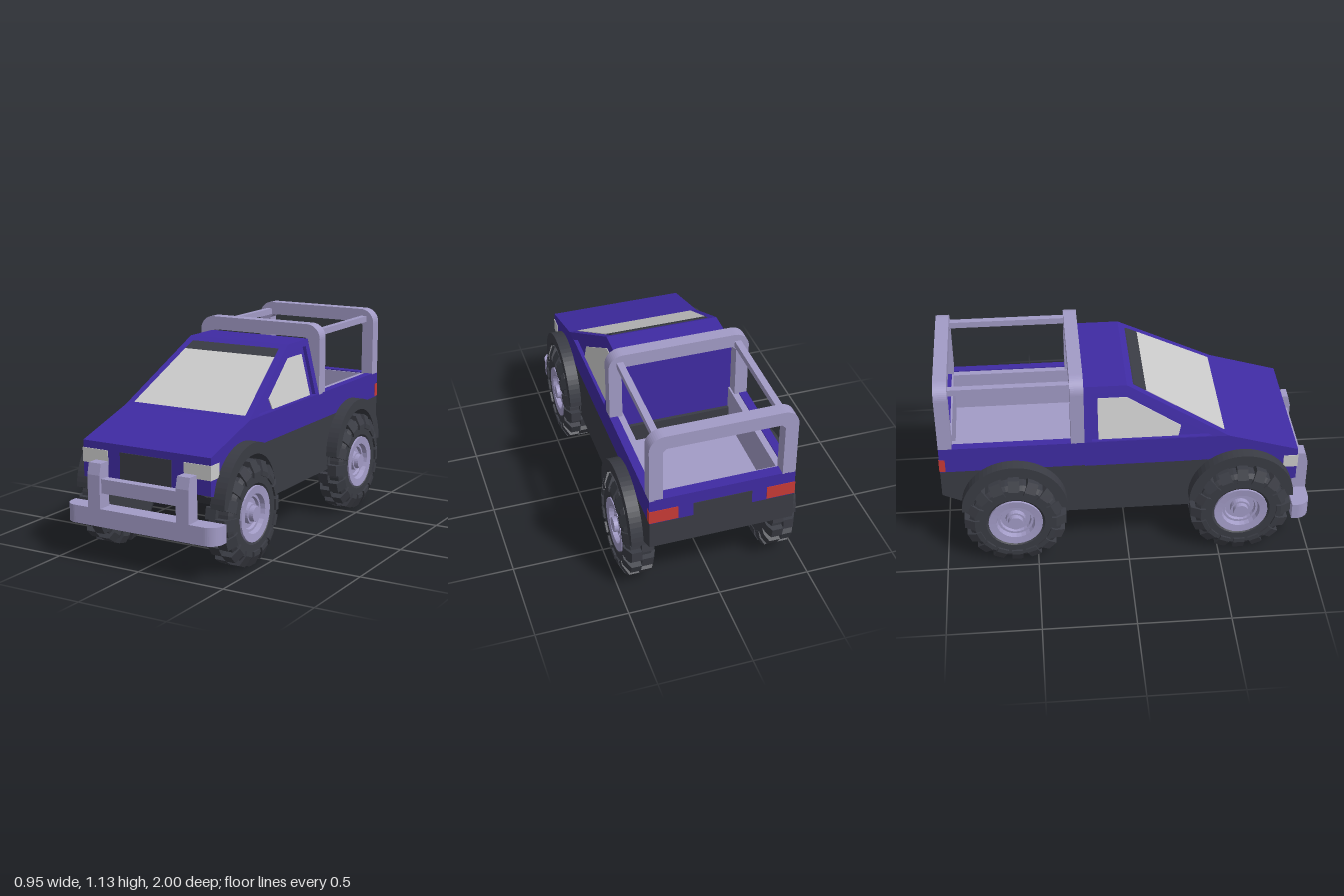
import * as THREE from 'three';
import { mergeGeometries } from 'three/addons/utils/BufferGeometryUtils.js';

const mat = (color) => new THREE.MeshStandardMaterial({ color, flatShading: true });
const PAINT = mat(0x3f2ba3), TRIM = mat(0xa29bc6), DARK = mat(0x3a3c44);
const GREY = mat(0xcccccc), RED = mat(0xc83a36);

const AXLE_Z = 0.615, ARCH_Y = 0.36, ARCH_R = 0.225;

export function createModel() {
  const root = new THREE.Group();
  const add = (name, geo, material, parent = root) => {
    const m = new THREE.Mesh(geo, material);
    m.name = name;
    parent.add(m);
    return m;
  };
  // Box given by its limits
  const box = (name, material, x0, x1, y0, y1, z0, z1) =>
    add(name, new THREE.BoxGeometry(x1 - x0, y1 - y0, z1 - z0)
      .translate((x0 + x1) / 2, (y0 + y1) / 2, (z0 + z1) / 2), material);
  const poly = (pts) => new THREE.Shape(pts.map(([a, b]) => new THREE.Vector2(a, b)));
  // Side profile in (z, y), extruded from x0 to x1
  const profile = (shape, x0, x1) =>
    new THREE.ExtrudeGeometry(shape, { depth: x1 - x0, bevelEnabled: false, curveSegments: 16 })
      .rotateY(-Math.PI / 2).translate(x1, 0, 0);
  // Tapered block: each end is [y, halfWidth, zBack, zFront]
  const taper = (low, high) => {
    const g = new THREE.BoxGeometry(2, 2, 2), p = g.attributes.position;
    for (let i = 0; i < p.count; i++) {
      const [y, w, zb, zf] = p.getY(i) < 0 ? low : high;
      p.setXYZ(i, p.getX(i) * w, y, p.getZ(i) < 0 ? zb : zf);
    }
    g.computeVertexNormals();
    return g;
  };

  // Chassis core between the wheels
  add('chassis', profile(poly([[-1, 0.435], [-0.65, 0.28], [0.6, 0.28], [0.91, 0.43], [0.91, 0.59],
    [-0.23, 0.59], [-0.23, 0.49], [-1, 0.49]]), -0.31, 0.31), DARK);

  // Hood and waist
  add('hood', profile(poly([[0.92, 0.585], [0.92, 0.625], [0.54, 0.74], [-0.23, 0.74], [-0.23, 0.585]]),
    -0.385, 0.385), PAINT);
  box('nosePanel', PAINT, -0.31, 0.31, 0.43, 0.59, 0.88, 0.92);
  box('grille', DARK, -0.155, 0.155, 0.44, 0.586, 0.9, 0.924);

  // Lower sides with wheel openings
  const lower = new THREE.Shape();
  lower.moveTo(-1, 0.59);
  lower.lineTo(-1, 0.435);
  lower.lineTo(-AXLE_Z - ARCH_R, ARCH_Y);
  lower.absarc(-AXLE_Z, ARCH_Y, ARCH_R, Math.PI, 0, true);
  lower.lineTo(-0.385, 0.28);
  lower.lineTo(0.385, 0.28);
  lower.lineTo(AXLE_Z - ARCH_R, ARCH_Y);
  lower.absarc(AXLE_Z, ARCH_Y, ARCH_R, Math.PI, Math.PI / 2, true);
  lower.lineTo(AXLE_Z, 0.59);
  const nose = new THREE.Shape();
  nose.moveTo(0.92, 0.59);
  nose.lineTo(AXLE_Z, 0.59);
  nose.absarc(AXLE_Z, ARCH_Y, ARCH_R, Math.PI / 2, 0.2, true);
  nose.lineTo(0.92, 0.43);

  // Wheel arch flare
  const flare = new THREE.Shape();
  flare.absarc(0, ARCH_Y, 0.285, 0, Math.PI, false);
  flare.absarc(0, ARCH_Y, ARCH_R, Math.PI, 0, true);

  for (const [s, side] of [[1, 'left'], [-1, 'right']]) {
    const span = (a, b) => (s > 0 ? [a, b] : [-b, -a]);
    add(side + 'LowerSide', profile(lower, ...span(0.31, 0.385)), DARK);
    add(side + 'NoseSide', profile(nose, ...span(0.31, 0.385)), PAINT);
    box(side + 'Headlight', GREY, ...span(0.23, 0.388), 0.51, 0.586, 0.845, 0.924);
    box(side + 'TailLight', RED, ...span(0.235, 0.387), 0.595, 0.67, -1.003, -0.97);
    box(side + 'BedRail', PAINT, ...span(0.34, 0.385), 0.59, 0.74, -1, -0.23);
    box(side + 'BedLiner', TRIM, ...span(0.305, 0.34), 0.49, 0.735, -0.95, -0.23);
    box(side + 'RollBarRail', TRIM, ...span(0.305, 0.34), 1.05, 1.085, -0.95, -0.28);
    for (const e of [1, -1])
      add(side + (e > 0 ? 'Front' : 'Rear') + 'Flare',
        profile(flare, ...span(0.37, 0.45)).translate(0, 0, e * AXLE_Z), DARK);
  }

  // Load bed
  box('bedFloor', TRIM, -0.31, 0.31, 0.48, 0.51, -0.95, -0.23);
  box('bedFrontStrip', DARK, -0.305, 0.305, 0.51, 0.61, -0.25, -0.22);
  box('tailgate', PAINT, -0.34, 0.34, 0.59, 0.74, -1, -0.94);
  box('tailgateLower', DARK, -0.31, 0.31, 0.435, 0.59, -1, -0.94);
  box('tailgateLiner', TRIM, -0.305, 0.305, 0.51, 0.735, -0.945, -0.93);
  box('rearPlatePanel', DARK, -0.155, 0.155, 0.585, 0.67, -1.003, -0.97);

  // Cab: inner block, outer side frames and glass leaning inwards
  add('cab', taper([0.735, 0.365, -0.23, 0.549], [1.045, 0.29, -0.23, 0]), PAINT);
  const lean = (g, s) => {
    const p = g.attributes.position;
    for (let i = 0; i < p.count; i++) p.setX(i, p.getX(i) - s * (p.getY(i) - 0.74) * 0.246);
    g.computeVertexNormals();
    return g;
  };
  const frame = poly([[0.54, 0.74], [0, 1.045], [-0.23, 1.045], [-0.23, 0.74]]);
  frame.holes.push(poly([[0.45, 0.745], [-0.01, 1.01], [-0.19, 1.01], [-0.19, 0.745]]));
  const pane = poly([[0.27, 0.742], [0.285, 0.8], [0, 0.97], [-0.155, 0.97], [-0.155, 0.742]]);
  for (const [s, side] of [[1, 'left'], [-1, 'right']]) {
    const span = (a, b) => (s > 0 ? [a, b] : [-b, -a]);
    add(side + 'CabFrame', lean(profile(frame, ...span(0.35, 0.385)), s), PAINT);
    add(side + 'Window', lean(profile(pane, ...span(0.35, 0.369)), s), GREY);
  }
  const slopeZ = (y) => 0.54 - (y - 0.74) * 0.54 / 0.305;
  const slopeEnd = (y, w) => [y, w, slopeZ(y) - 0.02, slopeZ(y) + 0.007];
  add('windshield', taper(slopeEnd(0.755, 0.343), slopeEnd(0.99, 0.282)), GREY);
  add('sunStrip', taper(slopeEnd(0.99, 0.282), slopeEnd(1.025, 0.272)), DARK);

  // Roll bars: inverted U with rounded shoulders
  const hoop = new THREE.Shape();
  hoop.moveTo(-0.385, 0.735);
  hoop.lineTo(-0.315, 0.735);
  hoop.lineTo(-0.315, 1.03);
  hoop.lineTo(-0.295, 1.05);
  hoop.lineTo(0.295, 1.05);
  hoop.lineTo(0.315, 1.03);
  hoop.lineTo(0.315, 0.735);
  hoop.lineTo(0.385, 0.735);
  hoop.absarc(0.305, 1.045, 0.08, 0, Math.PI / 2, false);
  hoop.absarc(-0.305, 1.045, 0.08, Math.PI / 2, Math.PI, false);
  for (const [name, z] of [['frontRollBar', -0.302], ['rearRollBar', -1]])
    add(name, new THREE.ExtrudeGeometry(hoop, { depth: 0.072, bevelEnabled: false, curveSegments: 6 })
      .translate(0, 0, z), TRIM);

  // Front bumper and bull bar
  const plan = new THREE.Shape();
  plan.moveTo(-0.46, 0.9);
  plan.lineTo(0.46, 0.9);
  plan.absarc(0.39, 0.93, 0.07, 0, Math.PI / 2, false);
  plan.absarc(-0.39, 0.93, 0.07, Math.PI / 2, Math.PI, false);
  add('bumper', new THREE.ExtrudeGeometry(plan, { depth: 0.095, bevelEnabled: false, curveSegments: 6 })
    .rotateX(Math.PI / 2).translate(0, 0.295, 0), TRIM);
  const post = poly([[0.92, 0.29], [1, 0.29], [1, 0.47], [0.985, 0.53], [0.92, 0.53]]);
  add('leftBullBarPost', profile(post, 0.23, 0.305), TRIM);
  add('rightBullBarPost', profile(post, -0.305, -0.23), TRIM);
  box('bullBarCrossbar', TRIM, -0.23, 0.23, 0.375, 0.45, 0.935, 0.985);

  // Wheels: tyre, staggered tread lugs and stepped rim
  const lathe = (pts, n) => new THREE.LatheGeometry(pts.map(([r, x]) => new THREE.Vector2(r, x)), n)
    .rotateZ(-Math.PI / 2);
  const tyre = lathe([[0, -0.075], [0.21, -0.075], [0.25, -0.055], [0.25, 0.055], [0.225, 0.072],
    [0.16, 0.072], [0.145, 0.06]], 32);
  const rim = lathe([[0.148, 0.05], [0.147, 0.074], [0.105, 0.07], [0.098, 0.045], [0.085, 0.045], [0.08, 0.03],
    [0.055, 0.03], [0.052, 0.055], [0.042, 0.055], [0.04, 0.08], [0, 0.08]], 24);
  const outerLug = poly([[0, 0.235], [0, 0.276], [0.055, 0.276], [0.083, 0.22], [0.083, 0.195],
    [0.065, 0.195], [0.05, 0.235]]);
  const innerLug = poly([[0, 0.235], [0, 0.276], [-0.06, 0.276], [-0.08, 0.235], [-0.08, 0.2], [-0.06, 0.2]]);
  const lugs = [], COUNT = 16;
  for (let i = 0; i < COUNT; i++)
    [outerLug, innerLug].forEach((shape, k) => lugs.push(
      new THREE.ExtrudeGeometry(shape, { depth: 0.06, bevelEnabled: false })
        .translate(0, 0, -0.03).rotateX((i + k / 2) * 2 * Math.PI / COUNT)));
  const tread = mergeGeometries(lugs);
  for (const s of [1, -1])
    for (const e of [1, -1]) {
      const wheel = new THREE.Group();
      wheel.name = (e > 0 ? 'front' : 'rear') + (s > 0 ? 'Left' : 'Right') + 'Wheel';
      add('tyre', tyre, DARK, wheel);
      add('tread', tread, DARK, wheel);
      add('rim', rim, TRIM, wheel);
      wheel.position.set(s * 0.39, 0.276, e * AXLE_Z);
      if (s < 0) wheel.rotation.y = Math.PI;
      root.add(wheel);
    }
  return root;
}
